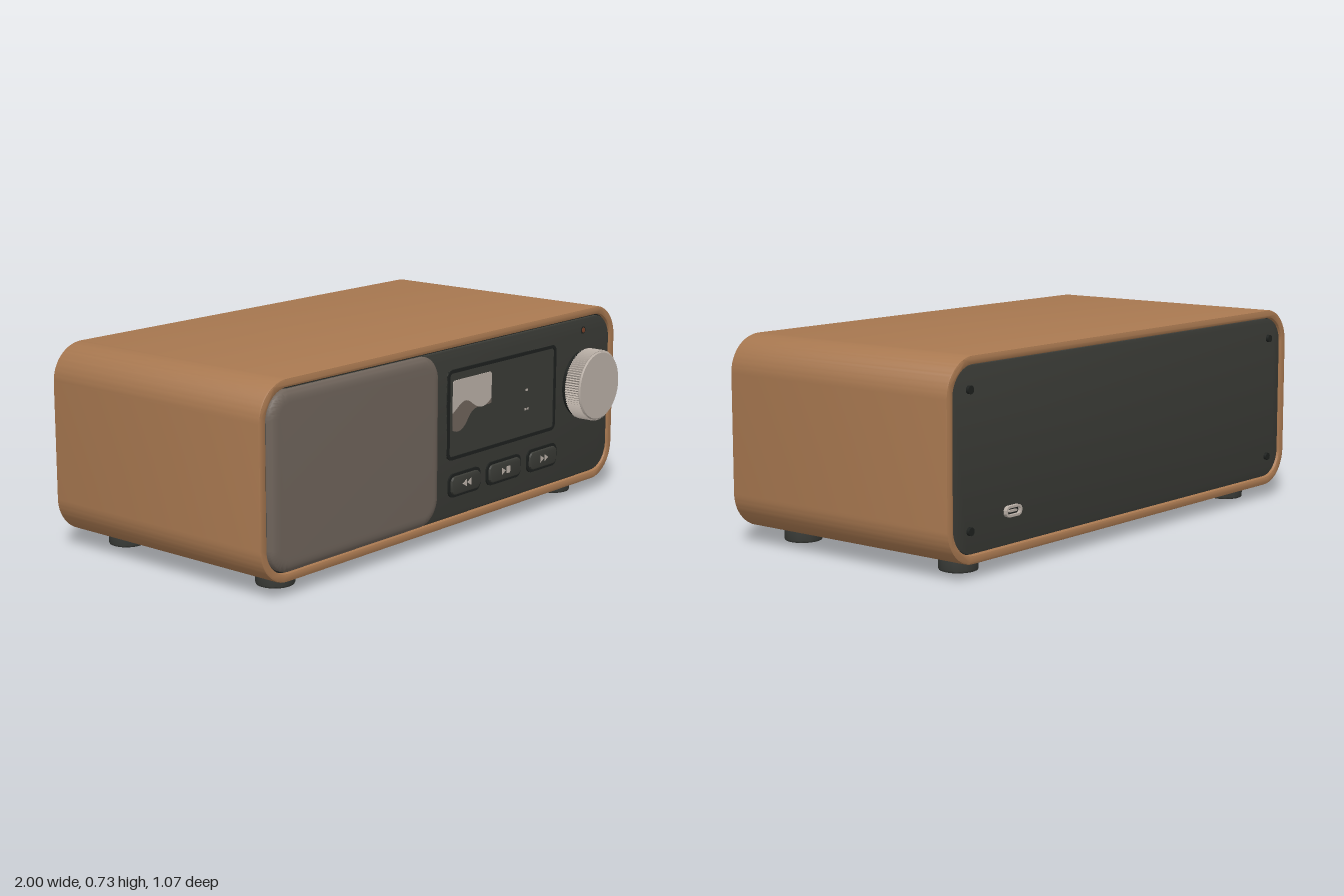
import * as THREE from 'three';
import { toCreasedNormals } from 'three/addons/utils/BufferGeometryUtils.js';

const mat = (name, color) => new THREE.MeshStandardMaterial({ name, color });

// Rounded rectangle outline, used for both shapes and holes
function roundRect(x0, x1, y0, y1, r, path = new THREE.Shape()) {
  path.moveTo(x0 + r, y0);
  path.lineTo(x1 - r, y0);
  path.absarc(x1 - r, y0 + r, r, -Math.PI / 2, 0);
  path.lineTo(x1, y1 - r);
  path.absarc(x1 - r, y1 - r, r, 0, Math.PI / 2);
  path.lineTo(x0 + r, y1);
  path.absarc(x0 + r, y1 - r, r, Math.PI / 2, Math.PI);
  path.lineTo(x0, y0 + r);
  path.absarc(x0 + r, y0 + r, r, Math.PI, Math.PI * 1.5);
  return path;
}

// Extrudes a shape between two z values, keeping curved sides smooth
function slab(shape, z0, z1, bevel = 0, bevelDepth = bevel, segments = 2) {
  const geo = new THREE.ExtrudeGeometry(shape, {
    depth: z1 - z0 - 2 * bevelDepth, curveSegments: 14,
    bevelEnabled: bevel > 0, bevelSize: bevel, bevelThickness: bevelDepth, bevelSegments: segments,
  });
  geo.translate(0, 0, z0 + bevelDepth);
  return toCreasedNormals(geo, 0.6);
}

// Rounded plate whose overall size includes its bevel
function plate([x0, x1, y0, y1], r, z0, z1, b = 0, bd = b, segments = 2) {
  return slab(roundRect(x0 + b, x1 - b, y0 + b, y1 - b, r - b), z0, z1, b, bd, segments);
}

// Thin rounded frame
function frame([x0, x1, y0, y1], r, width, z0, z1) {
  const s = roundRect(x0, x1, y0, y1, r);
  s.holes.push(roundRect(x0 + width, x1 - width, y0 + width, y1 - width, r - width, new THREE.Path()));
  return slab(s, z0, z1);
}

const polygon = (pts) => new THREE.Shape(pts.map(([x, y]) => new THREE.Vector2(x, y)));

export function createModel() {
  const wood = mat('wood', 0xa87850);
  const panel = mat('panel', 0x3a3b36);
  const trim = mat('darkTrim', 0x1d201e);
  const fabric = mat('fabric', 0x6f645b);
  const metal = mat('metal', 0xb9afa6);
  const copper = mat('copper', 0x7a4028);
  const rubber = mat('rubber', 0x3c3e3a);

  const root = new THREE.Group();
  root.name = 'tableRadio';
  const add = (name, geo, material, parent = root) => {
    const m = new THREE.Mesh(geo, material);
    m.name = name;
    parent.add(m);
    return m;
  };
  const disc = (r, depth, n = 32) => new THREE.CylinderGeometry(r, r, depth, n).rotateX(Math.PI / 2);

  // Wooden sleeve, open at both ends
  const b = 0.006;
  const sleeve = roundRect(-1 + b, 1 - b, 0.05 + b, 0.73 - b, 0.13 - b);
  sleeve.holes.push(roundRect(-0.97 - b, 0.97 + b, 0.08 - b, 0.7 + b, 0.1 + b, new THREE.Path()));
  add('cabinet', slab(sleeve, -0.53, 0.455, b), wood);

  // Front and back panels set in the sleeve
  add('frontPanel', plate([-0.965, 0.965, 0.085, 0.695], 0.097, 0.39, 0.452, 0.004), panel);
  add('backPanel', plate([-0.968, 0.968, 0.082, 0.698], 0.098, -0.522, -0.46, 0.004), panel);
  add('frontSeal', plate([-0.972, 0.972, 0.078, 0.702], 0.1, 0.38, 0.44), trim);
  add('backSeal', plate([-0.972, 0.972, 0.078, 0.702], 0.1, -0.51, -0.45), trim);

  // Cushioned speaker cover
  add('speakerCover', plate([-0.965, -0.098, 0.085, 0.695], 0.095, 0.42, 0.471, 0.04, 0.02, 6), fabric);

  // Display with frame and picture
  const display = new THREE.Group();
  display.name = 'display';
  root.add(display);
  const box = [-0.043, 0.61, 0.295, 0.622];
  add('displayGlass', plate(box, 0.025, 0.44, 0.455), panel, display);
  add('displayFrame', frame(box, 0.025, 0.012, 0.44, 0.459), trim, display);
  const art = new THREE.Shape();
  art.moveTo(-0.012, 0.57);
  art.quadraticCurveTo(-0.012, 0.582, 0, 0.582);
  art.lineTo(0.2, 0.582);
  art.quadraticCurveTo(0.212, 0.582, 0.212, 0.57);
  art.lineTo(0.212, 0.485);
  art.bezierCurveTo(0.16, 0.44, 0.12, 0.47, 0.09, 0.49);
  art.bezierCurveTo(0.05, 0.515, 0.03, 0.49, -0.012, 0.465);
  add('displaySky', slab(art, 0.454, 0.4575), metal, display);
  const hill = new THREE.Shape();
  hill.moveTo(-0.012, 0.5);
  hill.lineTo(0.212, 0.5);
  hill.lineTo(0.212, 0.465);
  hill.bezierCurveTo(0.15, 0.46, 0.11, 0.48, 0.075, 0.43);
  hill.bezierCurveTo(0.05, 0.395, 0.02, 0.385, -0.012, 0.402);
  add('displayHills', slab(hill, 0.453, 0.4565), fabric, display);
  for (const [x, y, w] of [[0.43, 0.477, 0.014], [0.423, 0.405, 0.01], [0.438, 0.405, 0.01]]) {
    add('displayMark', new THREE.BoxGeometry(w, 0.008, 0.003).translate(x, y, 0.455), metal, display);
  }

  // Three playback keys with raised icons
  const tri = (x, dir) => polygon(dir > 0
    ? [[x - 0.011, 0.187], [x + 0.011, 0.2], [x - 0.011, 0.213]]
    : [[x + 0.011, 0.187], [x + 0.011, 0.213], [x - 0.011, 0.2]]);
  const bar = (x) => polygon([[x - 0.004, 0.187], [x + 0.004, 0.187], [x + 0.004, 0.213], [x - 0.004, 0.213]]);
  const keys = [
    ['rewindKey', -0.033, 0.153, [tri(0.047, -1), tri(0.073, -1)]],
    ['playKey', 0.19, 0.398, [tri(0.28, 1), bar(0.302), bar(0.314)]],
    ['forwardKey', 0.438, 0.625, [tri(0.52, 1), tri(0.546, 1)]],
  ];
  for (const [name, x0, x1, icons] of keys) {
    const key = new THREE.Group();
    key.name = name;
    root.add(key);
    add('keySurround', frame([x0, x1, 0.156, 0.243], 0.028, 0.013, 0.44, 0.458), trim, key);
    add('keyCap', plate([x0 + 0.01, x1 - 0.01, 0.166, 0.233], 0.022, 0.44, 0.467, 0.005), panel, key);
    for (const icon of icons) add('keyIcon', slab(icon, 0.465, 0.469), metal, key);
  }

  // Knurled dial on a dark collar
  const dial = new THREE.Group();
  dial.name = 'dial';
  dial.position.set(0.79, 0.445, 0);
  root.add(dial);
  add('dialCollar', disc(0.128, 0.03, 64).translate(0, 0, 0.456), trim, dial);
  const teeth = [];
  for (let i = 0; i < 180; i++) {
    const a = (i / 180) * Math.PI * 2, r = i % 2 ? 0.131 : 0.136;
    teeth.push([Math.cos(a) * r, Math.sin(a) * r]);
  }
  add('dialGrip', new THREE.ExtrudeGeometry(polygon(teeth), { depth: 0.06, bevelEnabled: false })
    .translate(0, 0, 0.469), metal, dial);
  const cap = new THREE.LatheGeometry([[0.131, 0], [0.131, 0.003], [0.127, 0.007], [0, 0.007]]
    .map(([x, y]) => new THREE.Vector2(x, y)), 64).rotateX(Math.PI / 2).translate(0, 0, 0.528);
  add('dialFace', toCreasedNormals(cap, 0.5), metal, dial);

  // Indicator lamp
  add('lampRing', disc(0.014, 0.006).translate(0.79, 0.65, 0.451), trim);
  add('lamp', disc(0.009, 0.008).translate(0.79, 0.65, 0.452), copper);

  // Rear socket and corner screws
  const port = [0.63, 0.712, 0.176, 0.214];
  add('socketRim', frame(port, 0.0185, 0.008, -0.535, -0.515), metal);
  add('socketCore', plate(port, 0.0185, -0.524, -0.515), trim);
  add('socketTongue', plate([0.65, 0.692, 0.191, 0.199], 0.003, -0.53, -0.52), metal);
  for (const x of [-0.885, 0.885]) for (const y of [0.16, 0.62]) {
    add('screw', disc(0.014, 0.018, 24).translate(x, y, -0.524), trim);
  }

  // Round feet with softened lower edges
  const profile = [[0, 0], [0.06, 0], [0.065, 0.002], [0.067, 0.007], [0.067, 0.055]]
    .map(([x, y]) => new THREE.Vector2(x, y));
  const footGeo = toCreasedNormals(new THREE.LatheGeometry(profile, 40), 0.9);
  for (const x of [-0.793, 0.793]) for (const z of [-0.396, 0.323]) {
    add('foot', footGeo, rubber).position.set(x, 0, z);
  }
  return root;
}
